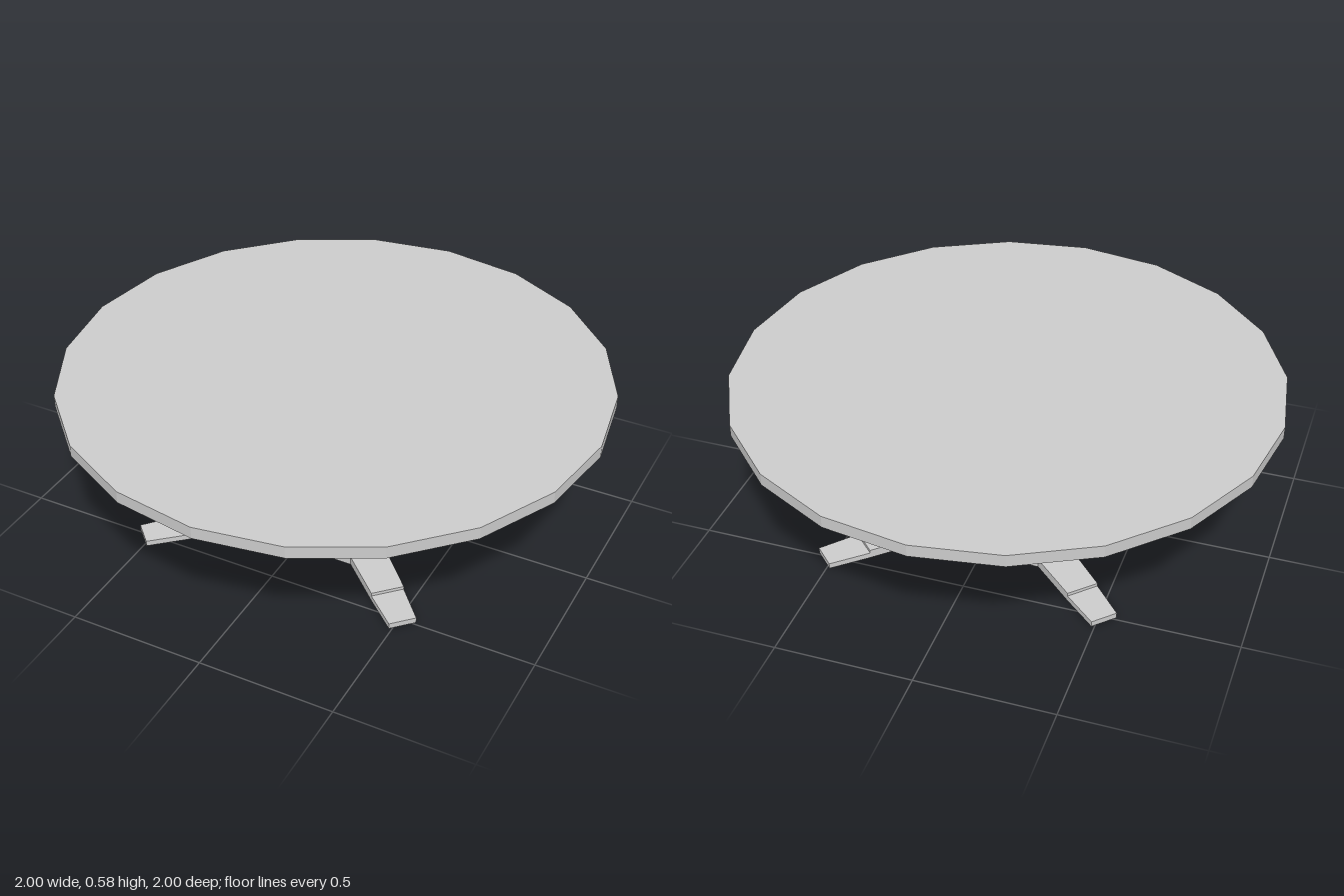
import * as THREE from 'three';

const material = new THREE.MeshStandardMaterial({ color: 0xcccccc, flatShading: true });

// Flat slab with the given outline, standing from y0 to y1
function slab(name, points, y0, y1) {
  const shape = new THREE.Shape(points.map(([x, z]) => new THREE.Vector2(x, z)));
  const geometry = new THREE.ExtrudeGeometry(shape, { depth: y1 - y0, bevelEnabled: false });
  geometry.rotateX(-Math.PI / 2).translate(0, y0, 0);
  const mesh = new THREE.Mesh(geometry, material);
  mesh.name = name;
  return mesh;
}

// Square of half size r whose corners are cut, leaving edges of half length e
const cutSquare = (r, e) => [
  [r, -e], [r, e], [e, r], [-e, r], [-r, e], [-r, -e], [-e, -r], [e, -r],
];

// Tapered strip running outward along x
const taper = (x0, w0, x1, w1) => [[x0, -w0], [x1, -w1], [x1, w1], [x0, w0]];

export function createModel() {
  const table = new THREE.Group();
  table.name = 'roundTable';

  // Twenty-sided top
  const top = new THREE.Mesh(new THREE.CylinderGeometry(1, 1, 0.045, 20), material);
  top.name = 'tableTop';
  top.position.y = 0.555;
  table.add(top);

  // Two-tier base
  table.add(slab('basePlate', cutSquare(0.315, 0.22), 0, 0.047));
  table.add(slab('upperPlate', cutSquare(0.268, 0.193), 0.047, 0.073));

  // Four diagonal corners, each with a post and a stepped foot
  for (let i = 0; i < 4; i++) {
    const corner = new THREE.Group();
    corner.name = 'corner' + (i + 1);
    corner.rotation.y = Math.PI / 4 + (i * Math.PI) / 2;

    const post = new THREE.Mesh(new THREE.BoxGeometry(0.094, 0.46, 0.094), material);
    post.name = 'post';
    post.position.set(0.184, 0.303, 0);

    corner.add(
      post,
      slab('innerFoot', taper(0.378, 0.067, 0.587, 0.06), 0, 0.033),
      slab('outerFoot', taper(0.587, 0.06, 0.742, 0.05), 0, 0.021),
    );
    table.add(corner);
  }
  return table;
}
